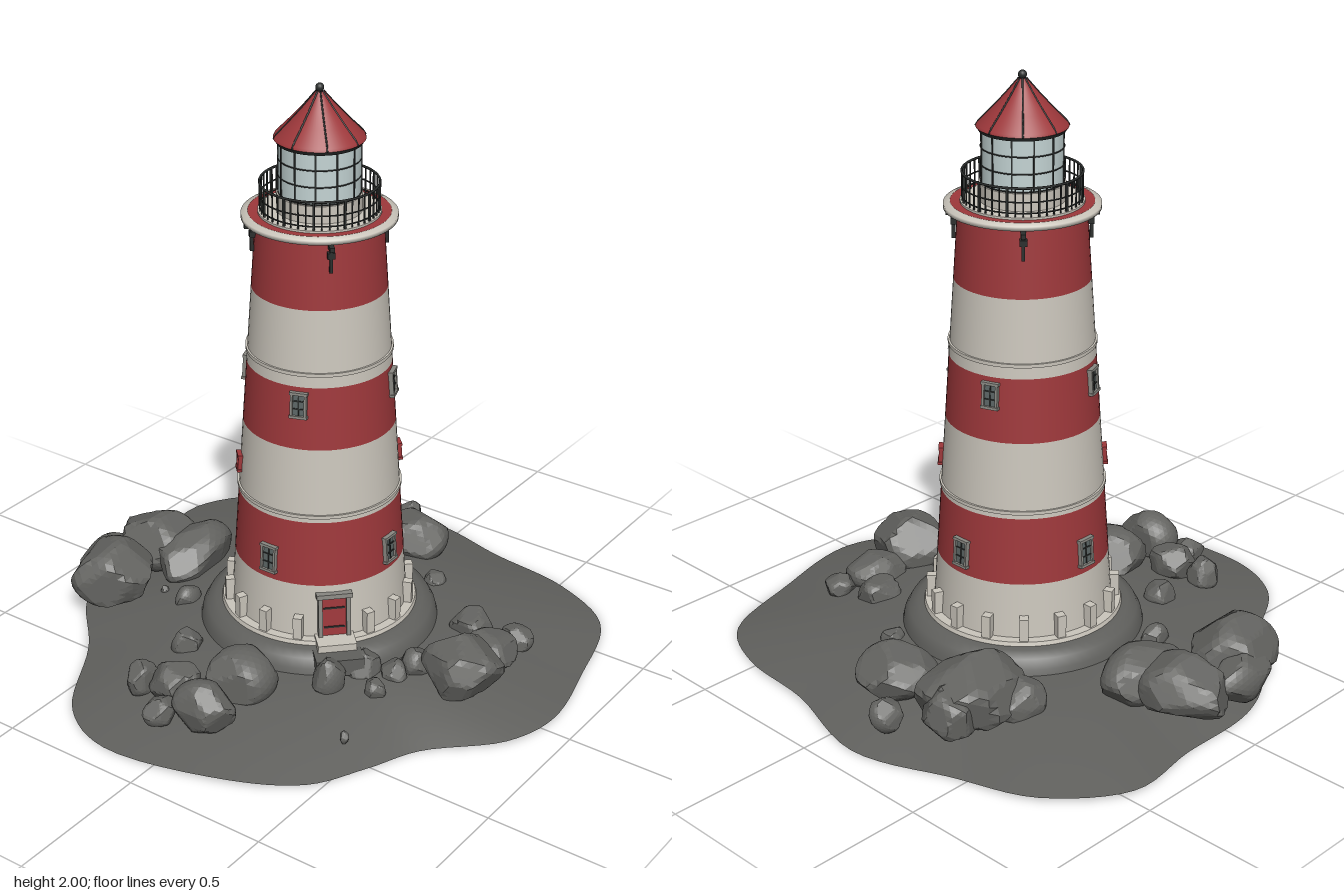
import * as THREE from 'three';

const mat = (name, color, side = THREE.FrontSide) => {
  const m = new THREE.MeshStandardMaterial({ color, side });
  m.name = name;
  return m;
};

export function createModel() {
  const white = mat('weathered white', 0xcbc6bc, THREE.DoubleSide);
  const red = mat('faded red', 0x9e383b, THREE.DoubleSide);
  const ground = mat('ground grey', 0x60605d, THREE.DoubleSide);
  const rock = mat('rock grey', 0x646461);
  const iron = mat('dark iron', 0x2b2e2d);
  const glass = mat('lantern glass', 0xc4d4d4);
  const pane = mat('window pane', 0x5d6766);
  const frame = mat('window frame', 0x8b8a84);

  const model = new THREE.Group();
  const tower = new THREE.Group();
  tower.name = 'tower';
  tower.position.set(0.04, 0, -0.02);
  model.add(tower);

  const add = (parent, name, geo, material, x = 0, y = 0, z = 0) => {
    const m = new THREE.Mesh(geo, material);
    m.name = name;
    m.position.set(x, y, z);
    parent.add(m);
    return m;
  };
  const box = (parent, name, material, w, h, d, x, y, z) =>
    add(parent, name, new THREE.BoxGeometry(w, h, d), material, x, y, z);
  const drum = (name, material, r0, r1, y0, y1, open = false) =>
    add(tower, name, new THREE.CylinderGeometry(r1, r0, y1 - y0, 64, 1, open), material, 0, (y0 + y1) / 2, 0);
  const hoop = (name, material, r, y, t) => {
    add(tower, name, new THREE.TorusGeometry(r, t, 6, 64), material, 0, y, 0).rotation.x = Math.PI / 2;
  };
  const lathe = (name, material, pts) =>
    add(tower, name, new THREE.LatheGeometry(pts.map(p => new THREE.Vector2(...p)), 64), material);
  // Group facing outwards at an angle (0 = front, 90 = left side)
  const facing = (name, deg, r, y, tilt = 0) => {
    const g = new THREE.Group();
    const a = THREE.MathUtils.degToRad(deg);
    g.name = name;
    g.rotation.set(-tilt, a, 0, 'YXZ');
    g.position.set(Math.sin(a) * r, y, Math.cos(a) * r);
    tower.add(g);
    return g;
  };

  // Tapered striped wall
  const slope = 0.0683;
  const wallR = y => 0.3 - slope * (y - 0.17);
  const levels = [0.165, 0.37, 0.598, 0.855, 1.07, 1.33, 1.56];
  for (let i = 0; i < 6; i++) {
    drum('wallStripe', i % 2 ? red : white, wallR(levels[i]), wallR(levels[i + 1]), levels[i], levels[i + 1], true);
  }
  for (const y of [0.62, 1.115]) drum('wallBand', white, wallR(y) + 0.006, wallR(y) + 0.006, y - 0.006, y + 0.006);

  // Plinth with a ring of short buttresses
  drum('plinth', white, 0.335, 0.33, 0.165, 0.182);
  for (let i = 0; i < 16; i++) {
    if (i === 14) continue; // doorway
    const g = facing('buttress', i * 22.5, 0.307, 0.18);
    box(g, 'buttressBlock', white, 0.03, 0.08, 0.034, 0, 0.04, 0);
  }

  // Windows
  const addWindow = (deg, y, w, h, frameMat) => {
    const g = facing('window', deg, wallR(y), y, slope);
    box(g, 'windowPane', pane, w, h, 0.012, 0, 0, 0);
    for (const s of [-1, 1]) {
      box(g, 'windowJamb', frameMat, 0.008, h + 0.008, 0.026, s * w / 2, 0, 0);
      box(g, 'windowLintel', frameMat, w + 0.014, 0.009, 0.03, 0, s * h / 2, 0);
    }
    box(g, 'windowMullion', iron, 0.004, h, 0.018, 0, 0, 0);
    for (const s of [-1, 1]) box(g, 'windowBar', iron, w, 0.004, 0.018, 0, s * h / 6, 0);
  };
  for (let i = 0; i < 4; i++) {
    addWindow(i * 90, 0.445, 0.05, 0.088, frame);
    addWindow(20 + i * 90, 1.01, 0.046, 0.08, frame);
  }
  for (const a of [45, 225]) addWindow(a, 0.705, 0.032, 0.052, red);

  // Door and steps
  const door = facing('door', -45, wallR(0.26), 0.18, slope);
  box(door, 'doorLeaf', red, 0.085, 0.15, 0.024, 0, 0.075, 0);
  for (const s of [-1, 1]) box(door, 'doorJamb', frame, 0.014, 0.155, 0.045, s * 0.047, 0.078, 0);
  box(door, 'doorLintel', frame, 0.12, 0.016, 0.055, 0, 0.158, 0);
  for (const y of [0.04, 0.11]) box(door, 'doorHinge', iron, 0.07, 0.006, 0.03, 0, y, 0);
  const steps = facing('steps', -45, 0.33, 0);
  box(steps, 'upperStep', white, 0.13, 0.05, 0.08, 0, 0.165, 0);
  box(steps, 'lowerStep', ground, 0.16, 0.06, 0.08, 0, 0.135, 0.055);

  // Gallery deck with its rim
  lathe('gallery', white, [[0.2, 1.545], [0.215, 1.56], [0.25, 1.563], [0.25, 1.577], [0.228, 1.583]]);
  lathe('galleryGutter', red, [[0.228, 1.583], [0.197, 1.581]]);
  drum('galleryFloor', white, 0.197, 0.197, 1.55, 1.588);
  for (let i = 0; i < 4; i++) {
    const g = facing('galleryBracket', 45 + i * 90, 0.212, 1.55);
    box(g, 'bracketArm', iron, 0.016, 0.014, 0.045, 0, -0.008, 0.008);
    box(g, 'bracketStem', iron, 0.01, 0.085, 0.012, 0, -0.05, 0.006);
    box(g, 'bracketPlate', iron, 0.024, 0.02, 0.02, 0, -0.035, 0.004);
  }

  // Railing
  for (const y of [1.6, 1.635, 1.68]) hoop('rail', iron, 0.19, y, y > 1.65 ? 0.004 : 0.0025);
  for (let i = 0; i < 48; i++) {
    const t = i % 4 ? 0.004 : 0.007;
    box(facing('railPost', i * 7.5, 0.19, 1.585), 'railBar', iron, t, 0.095, t, 0, 0.0475, 0);
  }

  // Lantern room
  drum('lanternSill', white, 0.137, 0.137, 1.585, 1.645);
  drum('lanternGlass', glass, 0.131, 0.131, 1.64, 1.82);
  for (const y of [1.648, 1.705, 1.76]) hoop('lanternHoop', iron, 0.131, y, 0.0025);
  for (let i = 0; i < 12; i++) {
    box(facing('lanternMullion', i * 30, 0.131, 1.645), 'mullionBar', iron, 0.005, 0.175, 0.006, 0, 0.0875, 0);
  }

  // Roof with ribs and finial
  drum('roofEave', iron, 0.137, 0.145, 1.812, 1.826);
  const roofLine = [[0.146, 1.825], [0.142, 1.834], [0.1, 1.877], [0.055, 1.925], [0.012, 1.975]];
  lathe('roof', red, roofLine);
  for (let i = 0; i < 8; i++) {
    const path = new THREE.CatmullRomCurve3(roofLine.map(([r, y]) => new THREE.Vector3(0, y, r)));
    add(tower, 'roofRib', new THREE.TubeGeometry(path, 10, 0.003, 5), iron).rotation.y = i * Math.PI / 4;
  }
  add(tower, 'finial', new THREE.SphereGeometry(0.014, 16, 12), iron, 0, 1.986, 0);

  // Mound below the tower
  lathe('mound', ground, [[0.41, 0.085], [0.402, 0.12], [0.385, 0.15], [0.355, 0.166], [0.32, 0.17], [0, 0.17]]);

  // Island sheet between the mound and a wavy shoreline
  const shore = [
    [0.91, -0.12], [0.83, 0.22], [0.79, 0.52], [0.67, 0.74], [0.35, 0.85], [0.04, 0.91], [-0.14, 0.85],
    [-0.34, 0.64], [-0.51, 0.56], [-0.7, 0.46], [-0.83, 0.25], [-0.91, -0.19], [-0.81, -0.41], [-0.51, -0.6],
    [-0.29, -0.8], [-0.12, -0.87], [0.18, -0.88], [0.47, -0.91], [0.7, -0.73], [0.8, -0.44],
  ];
  const coast = new THREE.CatmullRomCurve3(shore.map(([x, z]) => new THREE.Vector3(x, 0, z)), true);
  const N = 120, R = 12, pos = [], idx = [];
  for (let i = 0; i <= R; i++) {
    for (let j = 0; j < N; j++) {
      const p = coast.getPoint(j / N), s = i / R;
      const a = Math.atan2(p.z + 0.02, p.x - 0.04);
      const x = THREE.MathUtils.lerp(0.04 + 0.405 * Math.cos(a), p.x, s);
      const z = THREE.MathUtils.lerp(-0.02 + 0.405 * Math.sin(a), p.z, s);
      pos.push(x, 0.1 - 0.09 * s ** 1.4 + 0.008 * s * Math.sin(5 * a), z);
      if (i < R) {
        const k = i * N + j, n = i * N + (j + 1) % N;
        idx.push(k, n, k + N, n, n + N, k + N);
      }
    }
  }
  const island = new THREE.BufferGeometry();
  island.setAttribute('position', new THREE.Float32BufferAttribute(pos, 3));
  island.setIndex(idx);
  island.computeVertexNormals();
  add(model, 'island', island, ground);

  // Boulders: spheres cut by random planes
  let seed = 7;
  const rnd = () => (seed = (seed * 16807) % 2147483647) / 2147483647;
  const boulder = (x, z, rx, rz, top) => {
    const cuts = Array.from({ length: 16 }, () => {
      const u = rnd() * 2 - 1, a = rnd() * Math.PI * 2, q = Math.sqrt(1 - u * u);
      return { n: new THREE.Vector3(q * Math.cos(a), u, q * Math.sin(a)), d: 0.78 + rnd() * 0.16 };
    });
    const geo = new THREE.IcosahedronGeometry(1, 5), p = geo.attributes.position, v = new THREE.Vector3();
    const low = 0.035, ry = (top - low) / 2;
    for (let i = 0; i < p.count; i++) {
      v.fromBufferAttribute(p, i).normalize();
      let r = 1.06;
      for (const c of cuts) {
        const k = v.dot(c.n);
        if (k > 0) r = Math.min(r, c.d / k);
      }
      p.setXYZ(i, v.x * r * rx * 1.06, v.y * r * ry * 1.08, v.z * r * rz * 1.06);
    }
    geo.computeVertexNormals();
    add(model, 'boulder', geo, rock, x, low + ry, z);
  };
  const cluster = list => list.forEach(b => boulder(...b));
  cluster([ // back
    [-0.23, -0.72, 0.14, 0.14, 0.24], [-0.14, -0.82, 0.12, 0.07, 0.19], [0.05, -0.75, 0.13, 0.15, 0.22],
    [0.06, -0.59, 0.16, 0.1, 0.215], [-0.16, -0.44, 0.05, 0.035, 0.14], [-0.15, -0.555, 0.015, 0.015, 0.1],
  ]);
  cluster([ // left side
    [0.55, -0.29, 0.17, 0.15, 0.245], [0.45, -0.41, 0.08, 0.07, 0.18], [0.67, -0.31, 0.08, 0.1, 0.2],
    [0.62, -0.02, 0.12, 0.12, 0.21], [0.78, -0.14, 0.055, 0.055, 0.14], [0.44, 0.19, 0.045, 0.04, 0.13],
  ]);
  cluster([ // front
    [-0.02, 0.6, 0.125, 0.125, 0.235], [0.17, 0.58, 0.095, 0.095, 0.16], [0.27, 0.46, 0.075, 0.07, 0.15],
    [0.31, 0.61, 0.055, 0.055, 0.12], [-0.05, 0.44, 0.055, 0.055, 0.16], [-0.13, 0.4, 0.045, 0.045, 0.14],
    [-0.24, 0.4, 0.035, 0.035, 0.13], [-0.48, 0.45, 0.015, 0.015, 0.08], [-0.3, 0.26, 0.06, 0.05, 0.19],
    [-0.17, 0.31, 0.06, 0.05, 0.17],
  ]);
  cluster([ // right side
    [-0.47, 0.03, 0.11, 0.11, 0.21], [-0.68, 0.04, 0.08, 0.1, 0.2], [-0.6, -0.14, 0.08, 0.08, 0.17],
    [-0.63, -0.26, 0.06, 0.05, 0.15], [-0.73, -0.1, 0.06, 0.05, 0.13], [-0.39, -0.26, 0.05, 0.05, 0.15],
  ]);
  return model;
}
